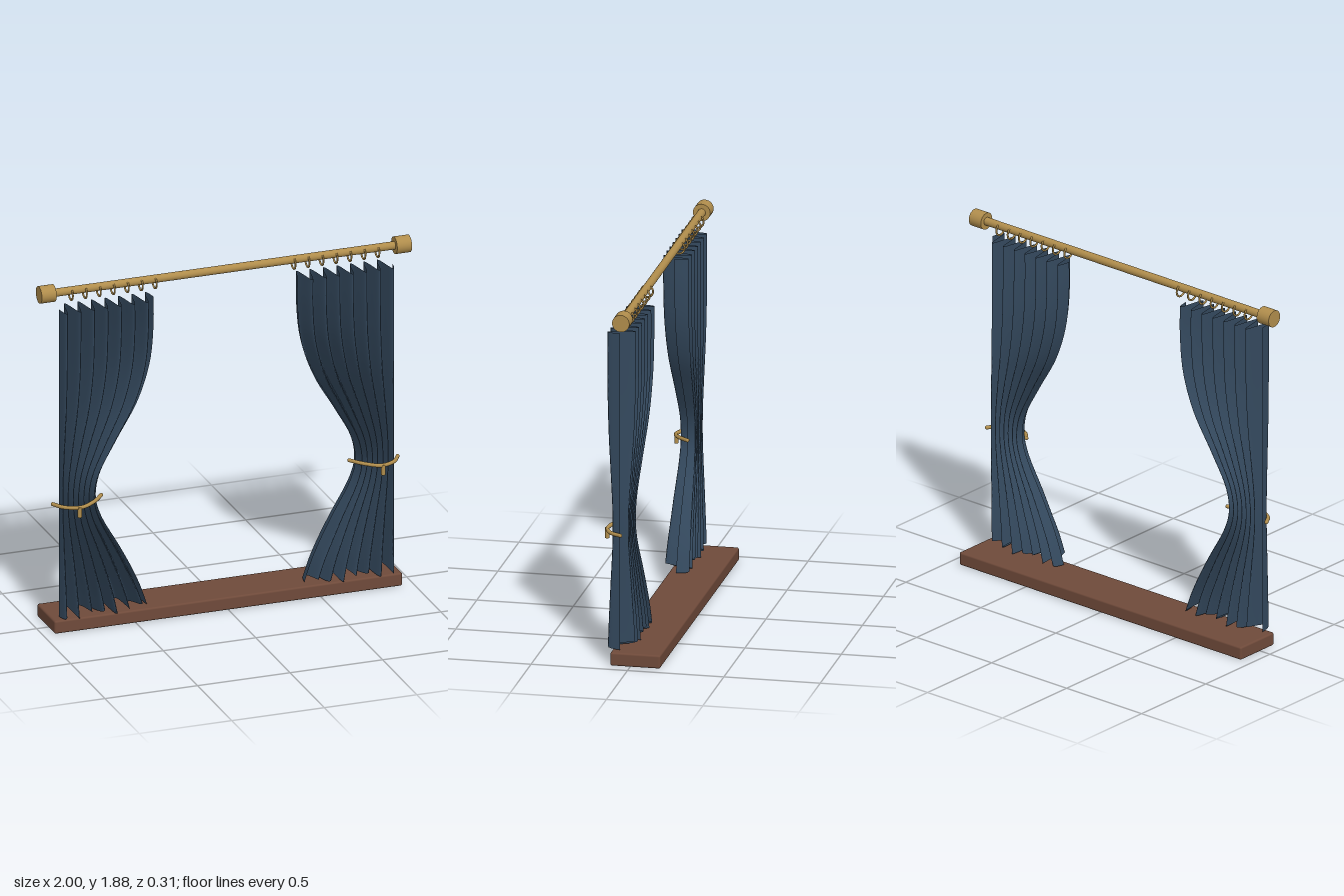
import * as THREE from 'three';
import { RoundedBoxGeometry } from 'three/addons/geometries/RoundedBoxGeometry.js';

const fabric = new THREE.MeshStandardMaterial({ color: 0x34495e, side: THREE.DoubleSide });
fabric.name = 'blue fabric';
const brass = new THREE.MeshStandardMaterial({ color: 0xb08d4c });
brass.name = 'brass';
const wood = new THREE.MeshStandardMaterial({ color: 0x6f4a3a });
wood.name = 'brown wood';

const ROD_Y = 1.84, ROD_Z = 0.035, OUTER = 0.9;

function add(parent, name, geometry, material, x = 0, y = 0, z = 0) {
  const mesh = new THREE.Mesh(geometry, material);
  mesh.name = name;
  mesh.position.set(x, y, z);
  parent.add(mesh);
  return mesh;
}

// Pleated cloth gathered at the waist; the inner edge follows a smooth profile
function curtainGeometry(side) {
  const profile = new THREE.CatmullRomCurve3([
    [0.39, 1.755], [0.39, 1.6], [0.41, 1.4], [0.475, 1.2], [0.59, 1.0], [0.685, 0.82],
    [0.702, 0.7], [0.675, 0.6], [0.565, 0.4], [0.465, 0.2], [0.425, 0.092],
  ].map(([x, y]) => new THREE.Vector3(x, y, 0)));
  const cols = 112, rows = 48, folds = 7;
  const geo = new THREE.PlaneGeometry(1, 1, cols, rows);
  const pos = geo.attributes.position;
  for (let r = 0; r <= rows; r++) {
    const edge = profile.getPoint(r / rows);
    const width = OUTER - edge.x;
    const depth = 0.04 + 0.03 * (width - 0.2) / 0.31;
    const hem = Math.max(0, 1 - (edge.y - 0.092) / 0.2);
    for (let c = 0; c <= cols; c++) {
      // Column order depends on the side so that faces look to the front
      const u = side > 0 ? 1 - c / cols : c / cols;
      pos.setXYZ(r * (cols + 1) + c,
        side * (OUTER - width * u),
        edge.y - hem * 0.017 * Math.cos(u * 5 * Math.PI * 2),
        0.06 + depth * Math.sin(u * folds * Math.PI * 2));
    }
  }
  geo.computeVertexNormals();
  return geo;
}

export function createModel() {
  const model = new THREE.Group();
  model.name = 'curtainedWindow';

  add(model, 'sill', new RoundedBoxGeometry(1.88, 0.07, 0.26, 2, 0.01), wood, 0, 0.035, -0.026);
  const rod = add(model, 'rod', new THREE.CylinderGeometry(0.021, 0.021, 1.9, 24), brass, 0, ROD_Y, ROD_Z);
  rod.rotation.z = Math.PI / 2;

  for (const side of [-1, 1]) {
    const half = new THREE.Group();
    half.name = side > 0 ? 'leftSide' : 'rightSide';
    model.add(half);

    const finial = add(half, 'finial', new THREE.CylinderGeometry(0.045, 0.045, 0.08, 28), brass,
      side * 0.96, ROD_Y, ROD_Z);
    finial.rotation.z = Math.PI / 2;

    add(half, 'curtain', curtainGeometry(side), fabric);

    // Rings hanging on the rod
    for (let i = 0; i < 7; i++) {
      const ring = add(half, 'ring', new THREE.TorusGeometry(0.031, 0.005, 8, 24), brass,
        side * (0.375 + i * 0.0755), 1.821, ROD_Z);
      ring.rotation.y = Math.PI / 2;
    }

    // Tieback cord bowed around the front of the waist, with a hanging end
    const path = new THREE.CatmullRomCurve3([
      [0.932, 0.692, 0.052], [0.89, 0.691, 0.112], [0.81, 0.692, 0.143], [0.73, 0.701, 0.112], [0.67, 0.706, 0.054],
    ].map(([x, y, z]) => new THREE.Vector3(side * x, y, z)));
    add(half, 'tieback', new THREE.TubeGeometry(path, 32, 0.01, 10), brass);
    for (const t of [0, 1]) {
      const p = path.getPoint(t);
      add(half, 'tiebackEnd', new THREE.SphereGeometry(0.01, 10, 8), brass, p.x, p.y, p.z);
    }
    add(half, 'tassel', new THREE.CylinderGeometry(0.011, 0.011, 0.055, 12), brass, side * 0.82, 0.668, 0.144);
  }
  return model;
}
